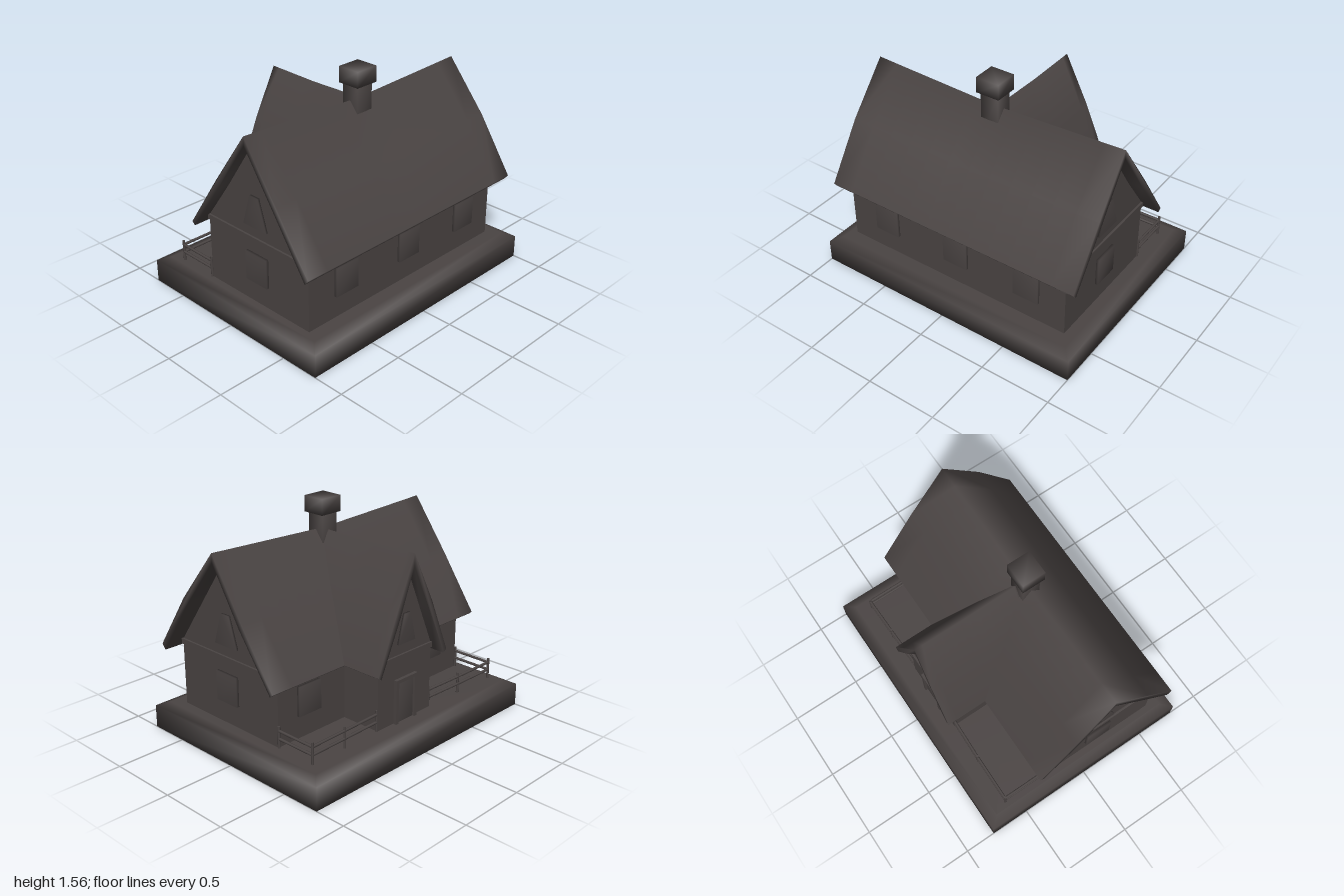
import * as THREE from 'three';
import { mergeVertices } from 'three/addons/utils/BufferGeometryUtils.js';

const charcoal = new THREE.MeshStandardMaterial({ color: 0x4a4443 });
charcoal.name = 'charcoal';

// Weld the corners so shading runs softly over the edges
function soften(geometry) {
  geometry.deleteAttribute('normal');
  geometry.deleteAttribute('uv');
  const welded = mergeVertices(geometry, 1e-4);
  welded.computeVertexNormals();
  return welded;
}

function add(parent, name, geometry) {
  const mesh = new THREE.Mesh(geometry, charcoal);
  mesh.name = name;
  parent.add(mesh);
  return mesh;
}

// Box given by its limits on each axis
function box(x0, x1, y0, y1, z0, z1, soft = false) {
  const g = new THREE.BoxGeometry(x1 - x0, y1 - y0, z1 - z0);
  g.translate((x0 + x1) / 2, (y0 + y1) / 2, (z0 + z1) / 2);
  return soft ? soften(g) : g;
}

// Outline in x and y, pulled from z0 to z1
function prism(points, z0, z1, steps = 1) {
  const shape = new THREE.Shape(points.map(([x, y]) => new THREE.Vector2(x, y)));
  const g = new THREE.ExtrudeGeometry(shape, { depth: z1 - z0, steps, bevelEnabled: false });
  return g.translate(0, 0, z0);
}

// Roof: bent slab whose ridge sags in the middle and is clipped at its ends
function roof(points, z0, z1, rise) {
  const g = prism(points, z0, z1, 12);
  const p = g.attributes.position;
  const mid = (z0 + z1) / 2, half = (z1 - z0) / 2;
  for (let i = 0; i < p.count; i++) {
    const y = p.getY(i), h = Math.max(0, (y - 0.6) / 0.74);
    const t = (p.getZ(i) - mid) / half;
    p.setY(i, y + rise * Math.abs(t) * h);
    if (Math.abs(t) > 0.99 && y > 1.25) p.setZ(i, mid + t * (half - 0.012));
  }
  return soften(g);
}

// Attic window: tapered pane standing just proud of the gable
function atticWindow(parent, x, y, w, h, z, dir) {
  const pts = [[x - w / 2, y], [x + w / 2, y], [x + w * 0.18, y + h], [x - w * 0.18, y + h]];
  add(parent, 'atticWindow', soften(prism(pts, dir > 0 ? z : z - 0.015, dir > 0 ? z + 0.015 : z)));
}

function rod(parent, name, a, b, r) {
  const from = new THREE.Vector3(...a), to = new THREE.Vector3(...b);
  const d = to.clone().sub(from);
  const mesh = add(parent, name, new THREE.CylinderGeometry(r, r, d.length(), 8));
  mesh.position.copy(from).addScaledVector(d, 0.5);
  mesh.quaternion.setFromUnitVectors(new THREE.Vector3(0, 1, 0), d.normalize());
}

function buildBase(parent) {
  const g = new THREE.BoxGeometry(1.56, 0.19, 2, 1, 2, 1);
  const p = g.attributes.position;
  // Rows: ground, start of the bevel, inset top
  for (let i = 0; i < p.count; i++) {
    const y = p.getY(i);
    if (y > 0.05) {
      p.setX(i, Math.sign(p.getX(i)) * 0.705);
      p.setZ(i, Math.sign(p.getZ(i)) * 0.93);
    } else if (y > -0.05) p.setY(i, 0.065);
  }
  g.translate(0, 0.095, 0);
  add(parent, 'base', soften(g));
}

function buildMainHouse(parent) {
  const house = new THREE.Group();
  house.name = 'mainHouse';
  const z0 = -0.86, z1 = 0.885;
  add(house, 'mainWalls', prism(
    [[-0.305, 0.17], [0.612, 0.17], [0.612, 0.66], [0.155, 1.305], [-0.305, 0.66]], z0, z1));
  add(house, 'mainRoof', roof(
    [[0.155, 1.34], [-0.115, 0.975], [-0.38, 0.61], [-0.355, 0.59], [-0.09, 0.935],
      [0.155, 1.28], [0.405, 0.965], [0.67, 0.595], [0.70, 0.63], [0.44, 1.0]], -0.967, 0.97, 0.038));

  for (const [z, dir] of [[z1, 1], [z0, -1]]) {
    const span = (d) => (dir > 0 ? [z - 0.005, z + d] : [z - d, z + 0.005]);
    // Beam along the foot of each gable
    add(house, 'gableBeam', box(-0.305, 0.612, 0.63, 0.667, ...span(0.014)));
    add(house, 'endWindow', box(0.062, 0.255, 0.345, 0.55, ...span(0.02), true));
    atticWindow(house, 0.155, 0.74, 0.21, 0.215, z, dir);
  }
  for (const z of [0.57, -0.01, -0.572])
    add(house, 'sideWindow', box(0.605, 0.633, 0.347, 0.553, z - 0.095, z + 0.095, true));
  for (const z of [0.6, -0.6])
    add(house, 'gardenWindow', box(-0.325, -0.3, 0.347, 0.553, z - 0.095, z + 0.095, true));
  parent.add(house);
}

// Cross wing, built facing +z and then turned towards -x
function buildWing(parent) {
  const wing = new THREE.Group();
  wing.name = 'wing';
  wing.rotation.y = -Math.PI / 2;
  const c = -0.018;
  add(wing, 'wingWalls', prism(
    [[c - 0.255, 0.17], [c + 0.255, 0.17], [c + 0.255, 0.66], [c, 1.24], [c - 0.255, 0.66]], 0, 0.6));
  add(wing, 'wingRoof', roof(
    [[c, 1.335], [c - 0.17, 0.985], [c - 0.333, 0.61], [c - 0.305, 0.59], [c - 0.135, 0.955],
      [c, 1.255], [c + 0.135, 0.955], [c + 0.305, 0.59], [c + 0.333, 0.61], [c + 0.17, 0.985]], -0.15, 0.672, 0.008));
  add(wing, 'wingBeam', box(c - 0.255, c + 0.255, 0.63, 0.667, 0.59, 0.614));
  atticWindow(wing, c, 0.74, 0.16, 0.2, 0.6, 1);

  // Door with a frame around it
  const w = 0.1;
  add(wing, 'door', box(c - w + 0.02, c + w - 0.02, 0.185, 0.48, 0.59, 0.608, true));
  for (const s of [-1, 1])
    add(wing, 'doorJamb', box(c + s * (w - 0.01) - 0.012, c + s * (w - 0.01) + 0.012, 0.185, 0.5, 0.59, 0.624));
  add(wing, 'doorLintel', box(c - w, c + w, 0.476, 0.5, 0.59, 0.624));
  parent.add(wing);
}

function buildChimney(parent) {
  add(parent, 'chimneyStack', box(0.092, 0.22, 1.1, 1.46, -0.07, 0.063, true));
  add(parent, 'chimneyCap', box(0.075, 0.24, 1.45, 1.56, -0.09, 0.083, true));
}

// Two rails on posts, enclosing the yards on both sides of the wing
function buildFence(parent, name, path) {
  const fence = new THREE.Group();
  fence.name = name;
  path.forEach(([x, z], i) => {
    rod(fence, 'fencePost', [x, 0.18, z], [x, 0.34, z], 0.009);
    if (i === 0) return;
    const [px, pz] = path[i - 1];
    for (const y of [0.255, 0.31])
      rod(fence, 'fenceRail', [px, y, pz], [x, y, z], 0.0095);
  });
  parent.add(fence);
}

export function createModel() {
  const cottage = new THREE.Group();
  cottage.name = 'cottage';
  buildBase(cottage);
  buildMainHouse(cottage);
  buildWing(cottage);
  buildChimney(cottage);
  buildFence(cottage, 'frontFence', [[-0.592, 0.24], [-0.602, 0.545], [-0.606, 0.888], [-0.31, 0.888]]);
  buildFence(cottage, 'backFence', [[-0.592, -0.275], [-0.6, -0.575], [-0.606, -0.86], [-0.31, -0.86]]);
  return cottage;
}
